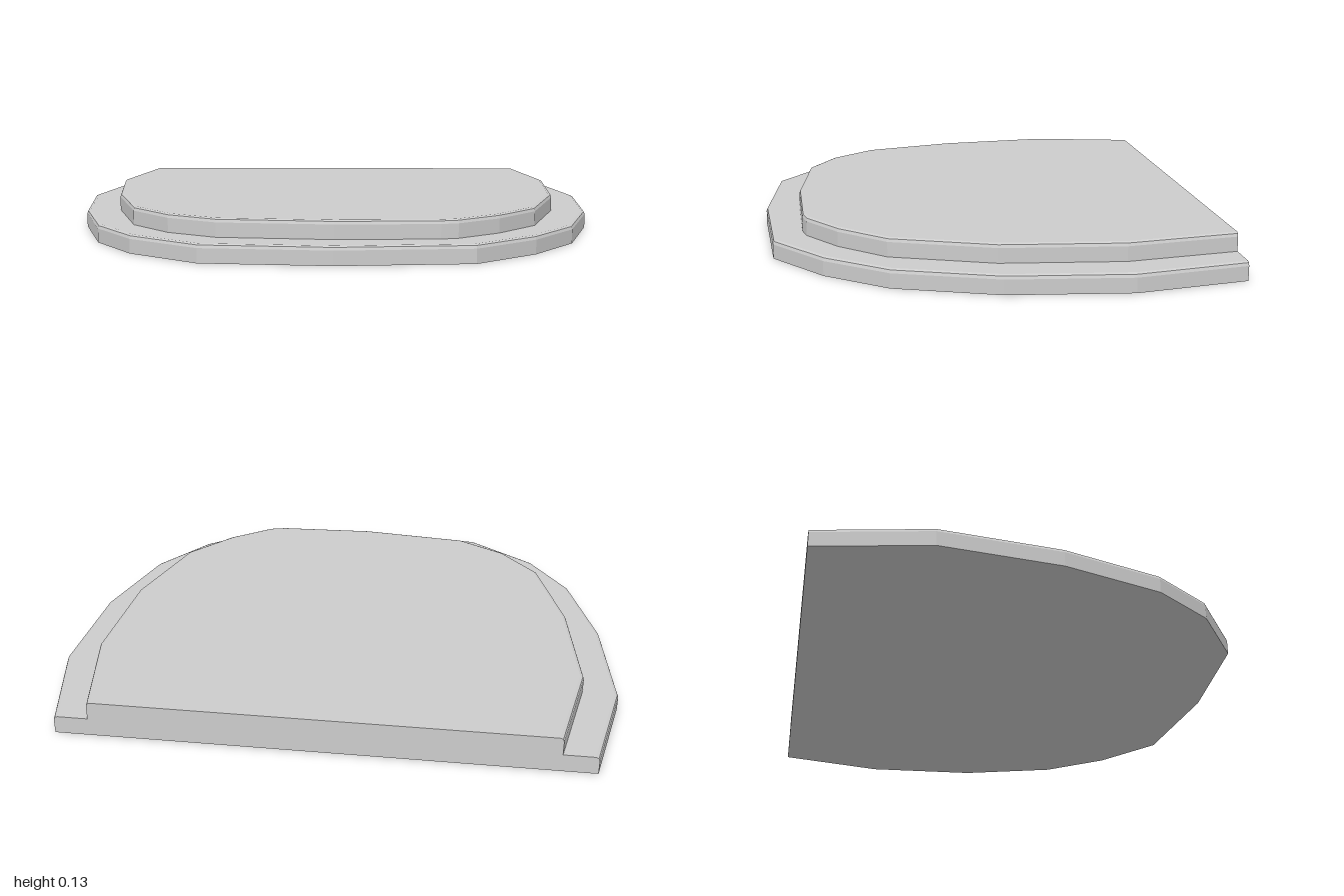
import * as THREE from 'three';

// Half-round outlines as [x, z], from the back right corner round the front.
const baseOutline = [
  [-0.92, -0.79], [-1, -0.4], [-0.95, 0.02], [-0.84, 0.37], [-0.69, 0.58], [-0.44, 0.75], [0.01, 0.79],
  [0.48, 0.75], [0.7, 0.58], [0.86, 0.37], [0.97, 0.02], [1, -0.4], [0.92, -0.79],
];
const topOutline = [
  [-0.8, -0.79], [-0.875, -0.4], [-0.82, 0.02], [-0.71, 0.37], [-0.565, 0.53], [-0.39, 0.625], [0.01, 0.665],
  [0.37, 0.65], [0.43, 0.635], [0.58, 0.53], [0.725, 0.37], [0.84, 0.02], [0.87, -0.4], [0.8, -0.79],
];

// Move the curved edge inwards; the straight back edge keeps its z.
function inset(points, amount) {
  const last = points.length - 1;
  return points.map(([x, z], i) => {
    if (i === 0) return [x + amount, z];
    if (i === last) return [x - amount, z];
    const dx = points[i + 1][0] - points[i - 1][0];
    const dz = points[i + 1][1] - points[i - 1][1];
    const length = Math.hypot(dx, dz);
    return [x + (dz / length) * amount, z - (dx / length) * amount];
  });
}

// Slab lofted through a few loops, with a rounded upper rim and a flat back.
function slab(name, outline, y0, y1, material) {
  const sections = [[0, y0], [0, y1 - 0.014], [0.004, y1 - 0.004], [0.014, y1]];
  const loops = sections.map(([amount, y]) =>
    inset(outline, amount).map(([x, z]) => [x, y, z]));
  const positions = [];
  const triangle = (a, b, c) => positions.push(...a, ...b, ...c);
  const count = outline.length;

  for (let s = 0; s < loops.length - 1; s++) {
    const low = loops[s], high = loops[s + 1];
    for (let i = 0; i < count; i++) {
      const j = (i + 1) % count;
      triangle(low[i], low[j], high[j]);
      triangle(low[i], high[j], high[i]);
    }
  }
  // Flat top and underside
  const bottom = loops[0], top = loops[loops.length - 1];
  for (let i = 1; i < count - 1; i++) {
    triangle(top[0], top[i], top[i + 1]);
    triangle(bottom[0], bottom[i + 1], bottom[i]);
  }

  const geometry = new THREE.BufferGeometry();
  geometry.setAttribute('position', new THREE.Float32BufferAttribute(positions, 3));
  geometry.computeVertexNormals();
  const mesh = new THREE.Mesh(geometry, material);
  mesh.name = name;
  return mesh;
}

export function createModel() {
  const stone = new THREE.MeshStandardMaterial({ color: 0xcccccc });
  stone.name = 'light grey stone';

  const group = new THREE.Group();
  group.name = 'steppedPlatform';
  group.add(slab('lowerStep', baseOutline, 0, 0.065, stone));
  group.add(slab('upperStep', topOutline, 0.065, 0.13, stone));
  return group;
}
